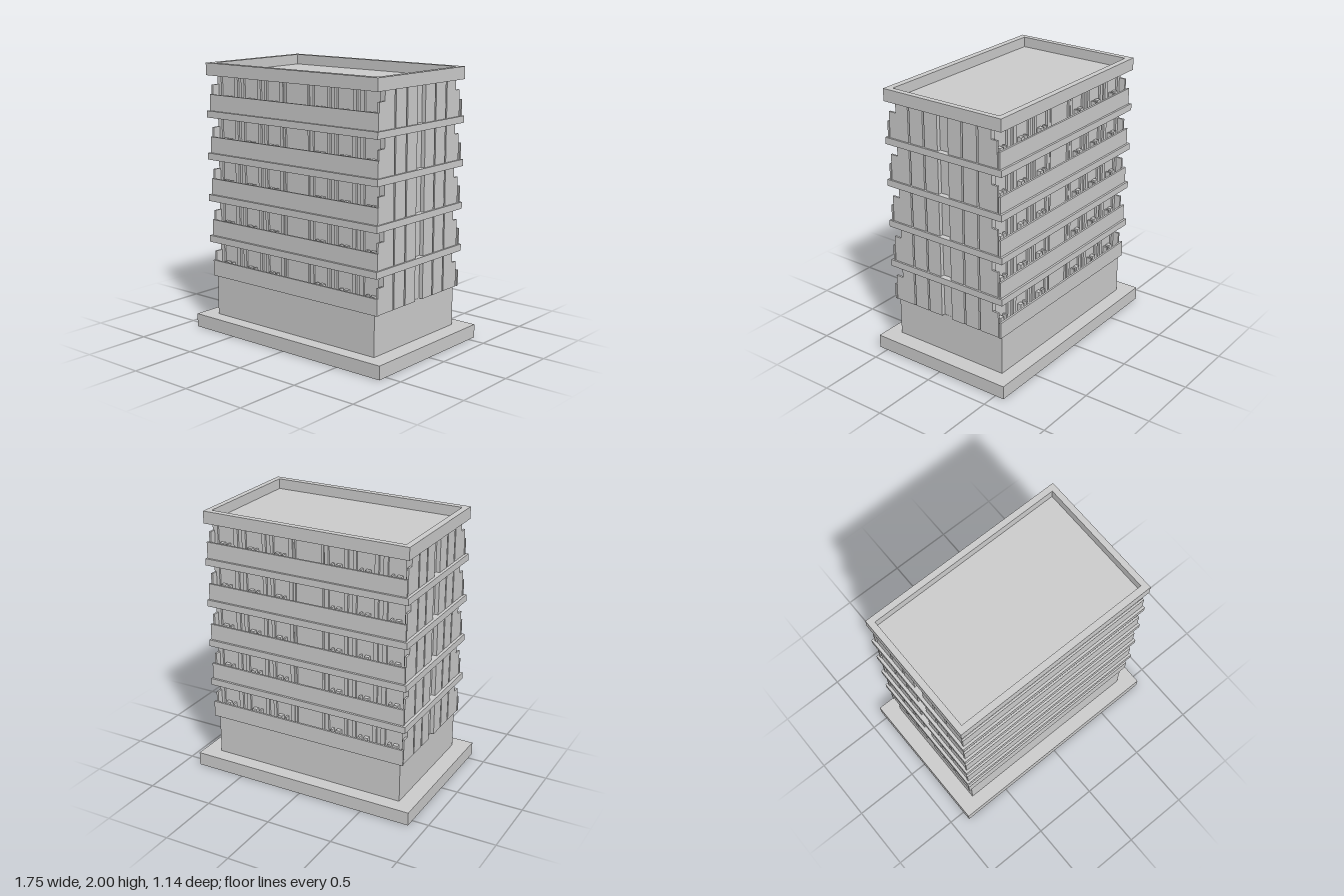
import * as THREE from 'three';

const material = new THREE.MeshStandardMaterial({ color: 0xcccccc, flatShading: true });

// Box given by its minimum and maximum on each axis
function box(parent, name, [x0, x1], [y0, y1], [z0, z1]) {
  const geometry = new THREE.BoxGeometry(x1 - x0, y1 - y0, z1 - z0);
  const mesh = new THREE.Mesh(geometry, material);
  mesh.name = name;
  mesh.position.set((x0 + x1) / 2, (y0 + y1) / 2, (z0 + z1) / 2);
  parent.add(mesh);
  return mesh;
}

// Same box on either side of an axis
const span = (sign, a, b) => (sign > 0 ? [a, b] : [-b, -a]);

const FLOORS = 5;
const PITCH = 0.3125;
const FIRST = 0.4;

// Vertical posts on the long facades, as [inner, outer] distances from the middle
const POSTS = [[0.105, 0.12], [0.125, 0.155], [0.28, 0.305], [0.342, 0.37], [0.505, 0.535], [0.57, 0.603], [0.735, 0.765]];
// Window bays between the posts
const BAYS = [[0.155, 0.28], [0.37, 0.505], [0.603, 0.735]];
// Cladding panels on the short facades
const PANELS = [[0.045, 0.157], [0.17, 0.285], [0.298, 0.405]];

function createFloor(index) {
  const floor = new THREE.Group();
  floor.name = 'floor' + (index + 1);
  const y = FIRST + index * PITCH;
  const top = y + 0.265;

  for (const s of [1, -1]) {
    // Balcony parapet and the low curb behind it
    box(floor, 'balconyParapet', [-0.78, 0.78], [y, y + 0.12], span(s, 0.464, 0.479));
    box(floor, 'balconyCurb', [-0.765, 0.765], [y, y + 0.03], span(s, 0.45, 0.466));

    for (const m of [1, -1]) {
      // End walls of the balcony
      box(floor, 'balconyEndWall', span(m, 0.76, 0.775), [y, y + 0.19], span(s, 0.4, s > 0 ? 0.465 : 0.453));
      for (const [a, b] of POSTS) {
        box(floor, 'facadePost', span(m, a, b), [y, top], span(s, 0.385, 0.405));
      }
      // Small furnishings kept below the parapet top
      for (const [a, b] of BAYS) {
        const c = (a + b) / 2;
        box(floor, 'balconyStand', span(m, c - 0.035, c - 0.02), [y, y + 0.11], span(s, 0.395, 0.43));
        box(floor, 'balconyBox', span(m, c + 0.005, c + 0.04), [y, y + 0.11], span(s, 0.395, 0.425));
      }
      // Cladding on the short facades
      for (const [a, b] of PANELS) {
        box(floor, 'sidePanel', span(m, 0.735, 0.775), [y, top], span(s, a, b));
      }
    }
  }

  // Slab above, except under the roof
  if (index < FLOORS - 1) {
    box(floor, 'floorSlab', [-0.797, 0.788], [y + 0.263, y + 0.3125], [-0.495, 0.497]);
  }
  return floor;
}

function createRoof() {
  const roof = new THREE.Group();
  roof.name = 'roof';
  const shape = new THREE.Shape();
  shape.moveTo(-0.797, -0.497).lineTo(0.788, -0.497).lineTo(0.788, 0.495).lineTo(-0.797, 0.495).closePath();
  const hole = new THREE.Path();
  hole.moveTo(-0.752, -0.448).lineTo(-0.752, 0.45).lineTo(0.745, 0.45).lineTo(0.745, -0.448).closePath();
  shape.holes.push(hole);
  // Raised rim around the flat roof
  const rim = new THREE.Mesh(
    new THREE.ExtrudeGeometry(shape, { depth: 0.09, bevelEnabled: false }), material);
  rim.name = 'roofRim';
  rim.rotation.x = -Math.PI / 2;
  rim.position.y = 1.91;
  roof.add(rim);
  box(roof, 'roofDeck', [-0.76, 0.755], [1.91, 1.925], [-0.46, 0.46]);
  return roof;
}

export function createModel() {
  const building = new THREE.Group();
  building.name = 'building';

  // Plinth, ground storey and the inner core
  box(building, 'plinth', [-0.875, 0.875], [0, 0.1], [-0.57, 0.57]);
  box(building, 'groundStorey', [-0.752, 0.747], [0.1, FIRST], [-0.462, 0.465]);
  box(building, 'core', [-0.745, 0.745], [FIRST, 1.915], [-0.39, 0.39]);

  for (let i = 0; i < FLOORS; i++) building.add(createFloor(i));
  building.add(createRoof());
  return building;
}
